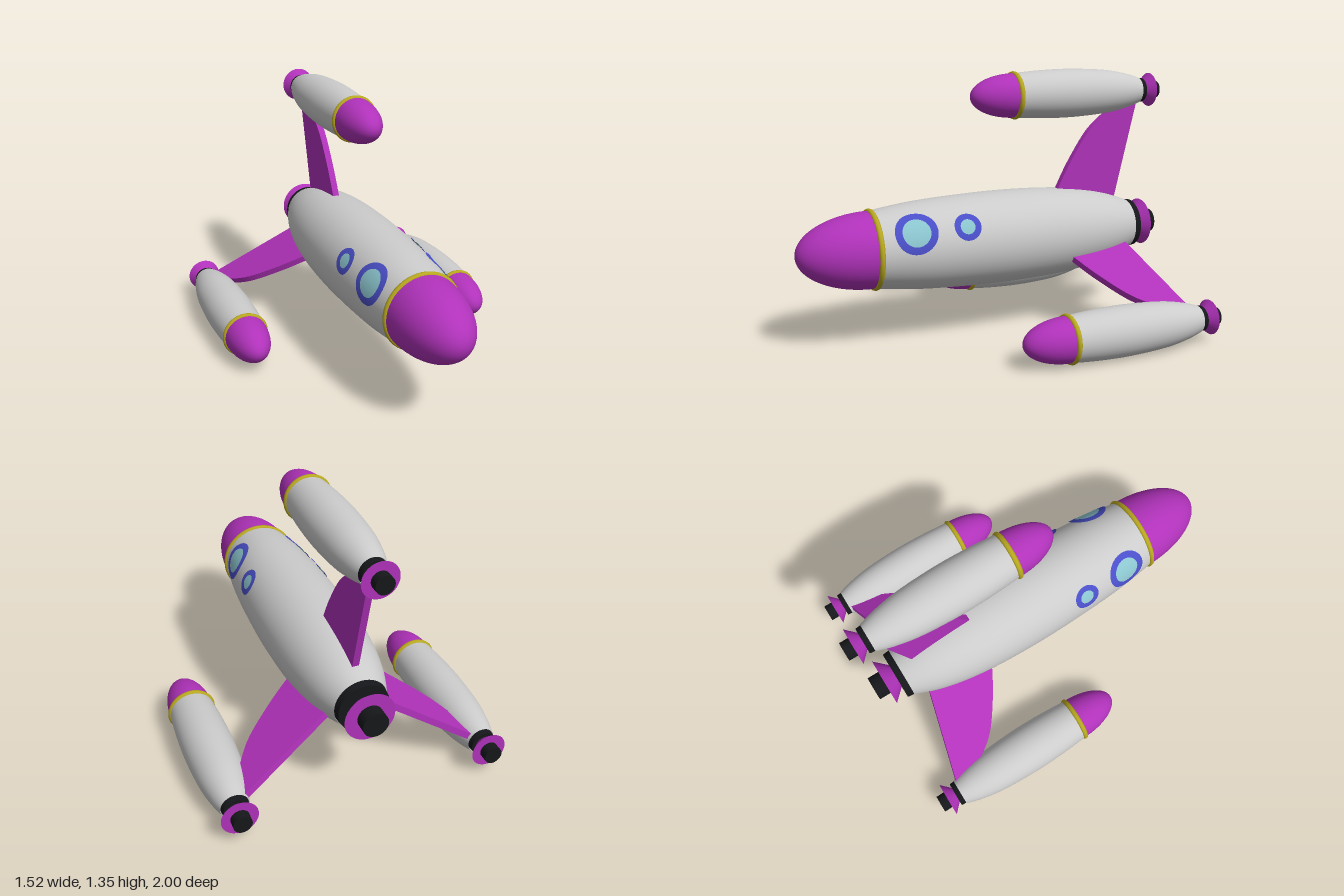
import * as THREE from 'three';

const material = (color) => new THREE.MeshStandardMaterial({ color, side: THREE.DoubleSide });
const AXIS_Y = 0.493; // height of the main hull axis
const POD_DISTANCE = 0.73; // from hull axis to pod axis

export function createModel() {
  const grey = material(0xcccccc);
  const purple = material(0xb032ba);
  const black = material(0x16171a);
  const yellow = material(0xb8a820);
  const blue = material(0x4a4fc8);
  const glass = material(0x8cc6cf);

  const add = (parent, name, geometry, mat) => {
    const mesh = new THREE.Mesh(geometry, mat);
    mesh.name = name;
    parent.add(mesh);
    return mesh;
  };

  // Revolve [z, radius] points around the z axis, listed from back to front
  const lathe = (pairs, smooth = true) => {
    let points = pairs.map(([z, r]) => new THREE.Vector2(r, z));
    if (smooth) points = new THREE.SplineCurve(points).getPoints(32);
    points.forEach((p) => { p.x = Math.max(p.x, 0); });
    return new THREE.LatheGeometry(points, 48).rotateX(Math.PI / 2);
  };

  // Cylinder or cone along z, from the back end to the front end
  const drum = (z0, r0, z1, r1) =>
    new THREE.CylinderGeometry(r1, r0, z1 - z0, 40).rotateX(Math.PI / 2).translate(0, 0, (z0 + z1) / 2);

  // Half-ellipse nose from its base to its tip
  const nose = (base, tip, radius) => {
    const pairs = [];
    for (let i = 0; i <= 20; i++) {
      const a = (i / 20) * Math.PI / 2;
      pairs.push([base + (tip - base) * Math.sin(a), radius * Math.cos(a)]);
    }
    return lathe(pairs, false);
  };

  // Hull, nose, trim band and engine shared by the ship and its pods
  const buildBody = (name, s) => {
    const body = new THREE.Group();
    body.name = name;
    add(body, 'hull', lathe(s.hull), grey);
    const [base, radius] = s.hull[s.hull.length - 1];
    add(body, 'noseCone', nose(base, s.tip, radius), purple);
    const band = new THREE.TorusGeometry(radius - 0.004, s.band, 10, 48).translate(0, 0, base);
    add(body, 'noseBand', band, yellow);
    const [z0, z1, z2, z3] = s.engineZ;
    const [rCollar, rThroat, rBell, rCore] = s.engineR;
    add(body, 'engineCollar', drum(z1, rCollar * 0.96, z0, rCollar), black);
    add(body, 'engineBell', drum(z2, rBell, z1, rThroat), purple);
    add(body, 'engineCore', drum(z3, rCore, z2 + 0.01, rCore), black);
    return body;
  };

  const hullProfile = [[-0.825, 0.133], [-0.7, 0.178], [-0.55, 0.211], [-0.35, 0.233],
    [-0.08, 0.241], [0.2, 0.234], [0.42, 0.22], [0.62, 0.194]];
  const mainSpec = {
    hull: hullProfile, tip: 1, band: 0.015,
    engineZ: [-0.817, -0.86, -0.924, -0.987], engineR: [0.132, 0.065, 0.125, 0.063],
  };
  const podSpec = {
    hull: [[-0.882, 0.069], [-0.8, 0.093], [-0.67, 0.115], [-0.47, 0.126], [-0.3, 0.123], [-0.15, 0.113]],
    tip: 0.087, band: 0.014,
    engineZ: [-0.876, -0.908, -0.955, -1], engineR: [0.066, 0.042, 0.089, 0.045],
  };

  const model = new THREE.Group();
  model.name = 'rocketShip';
  const ship = buildBody('mainBody', mainSpec);
  ship.position.y = AXIS_Y;
  model.add(ship);

  // Swept fin: shape x runs along z, shape y runs outward from the hull axis
  const thickness = 0.034;
  const finShape = new THREE.Shape();
  finShape.moveTo(-0.735, 0.1);
  finShape.lineTo(-0.36, 0.1);
  finShape.lineTo(-0.405, 0.23);
  finShape.splineThru([[-0.476, 0.365], [-0.583, 0.525], [-0.69, 0.618], [-0.78, 0.67]]
    .map(([x, y]) => new THREE.Vector2(x, y)));
  finShape.lineTo(-0.872, 0.67);
  finShape.closePath();
  const finGeometry = new THREE.ExtrudeGeometry(finShape, { depth: thickness, bevelEnabled: false, curveSegments: 20 })
    .translate(0, 0, -thickness / 2).rotateY(-Math.PI / 2);

  // Three fins, each carrying a pod
  ['top', 'left', 'right'].forEach((side, i) => {
    const arm = new THREE.Group();
    arm.name = side + 'Arm';
    add(arm, side + 'Fin', finGeometry, purple);
    const pod = buildBody(side + 'Pod', podSpec);
    pod.position.y = POD_DISTANCE;
    arm.add(pod);
    arm.rotation.z = -i * Math.PI * 2 / 3;
    ship.add(arm);
  });

  // Hull radius at a given z, following the profile's curve
  const samples = new THREE.SplineCurve(hullProfile.map(([z, r]) => new THREE.Vector2(z, r))).getPoints(120);
  const hullRadius = (z) => {
    const i = Math.max(1, samples.findIndex((p) => p.x >= z));
    const a = samples[i - 1], b = samples[i];
    return THREE.MathUtils.mapLinear(z, a.x, b.x, a.y, b.y);
  };

  // Wrap a flat ring onto the hull at height angle tilt, raised by lift
  const wrapRing = (inner, outer, z, tilt, lift, side) => {
    const geometry = new THREE.RingGeometry(inner, outer, 40, 6);
    const p = geometry.attributes.position;
    for (let i = 0; i < p.count; i++) {
      const pz = z - side * p.getX(i);
      const r = hullRadius(pz);
      const a = tilt + p.getY(i) / r;
      p.setXYZ(i, side * (r + lift) * Math.cos(a), (r + lift) * Math.sin(a), pz);
    }
    geometry.computeVertexNormals();
    return geometry;
  };

  // Two round windows on each side
  for (const side of [1, -1]) {
    const label = side > 0 ? 'left' : 'right';
    for (const [name, z, outer, inner] of [['Front', 0.447, 0.106, 0.07], ['Rear', 0.188, 0.069, 0.038]]) {
      const tilt = THREE.MathUtils.degToRad(30.5);
      add(ship, label + name + 'WindowFrame', wrapRing(inner, outer, z, tilt, 0.006, side), blue);
      add(ship, label + name + 'WindowGlass', wrapRing(0.0005, inner, z, tilt, 0.005, side), glass);
    }
  }
  return model;
}
